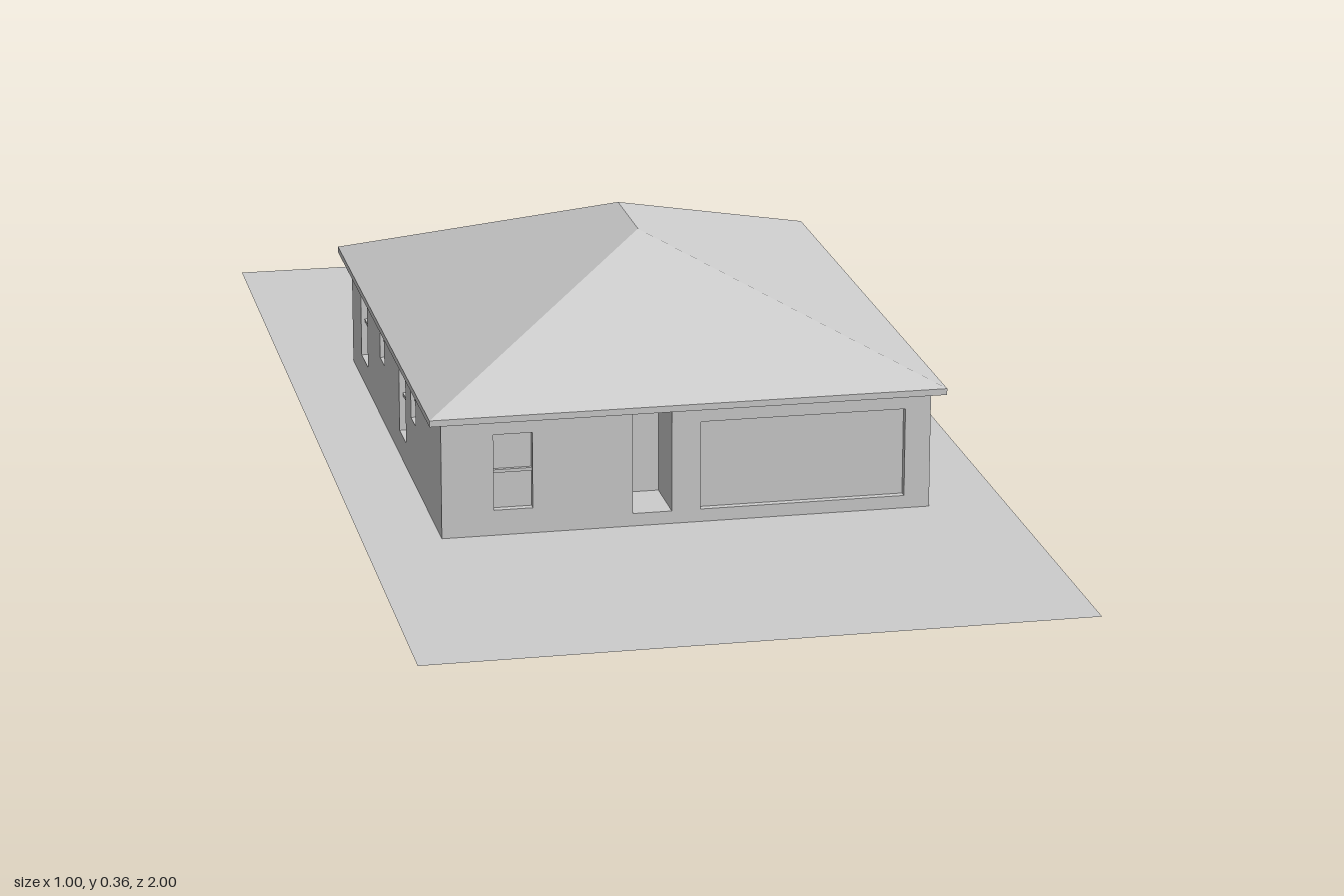
import * as THREE from 'three';

const grey = new THREE.MeshStandardMaterial({ color: 0xcccccc });
grey.name = 'plain grey';
const greyTwoSided = grey.clone();
greyTwoSided.side = THREE.DoubleSide;

const WALL_TOP = 0.185, RECESS = 0.012;

function add(parent, name, geometry, x = 0, y = 0, z = 0, material = grey) {
  const mesh = new THREE.Mesh(geometry, material);
  mesh.name = name;
  mesh.position.set(x, y, z);
  parent.add(mesh);
  return mesh;
}

// A wall with its outer face at local z = 0.
// Each opening is [left, right, bottom, top, kind], measured from outside.
function makeWall(name, width, openings) {
  const wall = new THREE.Group();
  wall.name = name;
  const shape = new THREE.Shape([
    new THREE.Vector2(-width / 2, 0), new THREE.Vector2(width / 2, 0),
    new THREE.Vector2(width / 2, WALL_TOP), new THREE.Vector2(-width / 2, WALL_TOP),
  ]);
  for (const [l, r, b, t, kind] of openings) {
    shape.holes.push(new THREE.Path([
      new THREE.Vector2(l, b), new THREE.Vector2(l, t),
      new THREE.Vector2(r, t), new THREE.Vector2(r, b),
    ]));
    const depth = kind === 'porch' ? 0.1 : RECESS;
    const cx = (l + r) / 2, cy = (b + t) / 2, w = r - l, h = t - b;
    add(wall, kind === 'porch' || kind === 'door' ? 'doorPanel' : 'windowPane',
      new THREE.BoxGeometry(w + 0.004, h, 0.004), cx, cy, -depth - 0.002);
    // Middle rail of the sash windows
    if (kind === 'sash')
      add(wall, 'sashRail', new THREE.BoxGeometry(w, 0.005, 0.006), cx, cy, -depth + 0.003);
    // Deep entrance: jambs, floor and a header over the door
    if (kind === 'porch') {
      for (const [x, s] of [[l, -1], [r, 1]])
        add(wall, 'porchJamb', new THREE.BoxGeometry(0.004, h, depth), x + s * 0.002, cy, -depth / 2 - 0.001);
      add(wall, 'porchFloor', new THREE.BoxGeometry(w, 0.004, depth), cx, b - 0.002, -depth / 2 - 0.001);
      add(wall, 'doorHeader', new THREE.BoxGeometry(w, t - 0.155, 0.01), cx, (t + 0.155) / 2, -depth + 0.005);
    }
  }
  const geometry = new THREE.ExtrudeGeometry(shape, { depth: RECESS, bevelEnabled: false });
  add(wall, name + 'Panel', geometry, 0, 0, -RECESS);
  return wall;
}

// Hipped roof surface over a rectangular eave
function hipRoof() {
  const x = 0.4, front = 0.5, back = -0.46, eave = 0.195, top = 0.36;
  const a = [-x, eave, front], b = [x, eave, front], c = [x, eave, back], d = [-x, eave, back];
  const e = [0, top, 0.1], f = [0, top, -0.06];
  const faces = [a, b, e, b, c, f, b, f, e, c, d, f, d, a, e, d, e, f];
  const geometry = new THREE.BufferGeometry();
  geometry.setAttribute('position', new THREE.Float32BufferAttribute(faces.flat(), 3));
  geometry.computeVertexNormals();
  return geometry;
}

export function createModel() {
  const model = new THREE.Group();
  model.name = 'house';

  // Plot of land
  const ground = add(model, 'ground', new THREE.PlaneGeometry(1, 2), 0, 0, 0, greyTwoSided);
  ground.rotation.x = -Math.PI / 2;

  // Walls
  const front = makeWall('frontWall', 0.76, [
    [-0.3, -0.24, 0.04, 0.16, 'sash'],
    [-0.085, -0.025, 0.02, 0.183, 'porch'],
    [0.02, 0.34, 0.02, 0.16, 'window'],
  ]);
  front.position.z = 0.48;

  const back = makeWall('backWall', 0.76, [
    [-0.32, -0.16, 0.05, 0.16, 'window'],
    [-0.05, 0.01, 0.02, 0.16, 'door'],
    [0.16, 0.32, 0.05, 0.16, 'window'],
  ]);
  back.position.z = -0.44;
  back.rotation.y = Math.PI;

  const left = makeWall('leftWall', 0.92, [
    [0.05, 0.11, 0.04, 0.16, 'sash'],
    [0.2, 0.26, 0.04, 0.16, 'sash'],
    [0.335, 0.395, 0.04, 0.16, 'sash'],
  ]);
  left.position.set(0.38, 0, 0.02);
  left.rotation.y = Math.PI / 2;

  const right = makeWall('rightWall', 0.92, [
    [-0.36, -0.29, 0.04, 0.16, 'sash'],
    [-0.15, -0.105, 0.1, 0.16, 'sash'],
    [0.05, 0.115, 0.04, 0.16, 'sash'],
    [0.17, 0.215, 0.1, 0.16, 'sash'],
  ]);
  right.position.set(-0.38, 0, 0.02);
  right.rotation.y = -Math.PI / 2;
  model.add(front, back, left, right);

  // Eave board and roof
  add(model, 'eave', new THREE.BoxGeometry(0.8, 0.01, 0.96), 0, 0.19, 0.02);
  add(model, 'roof', hipRoof());
  return model;
}
